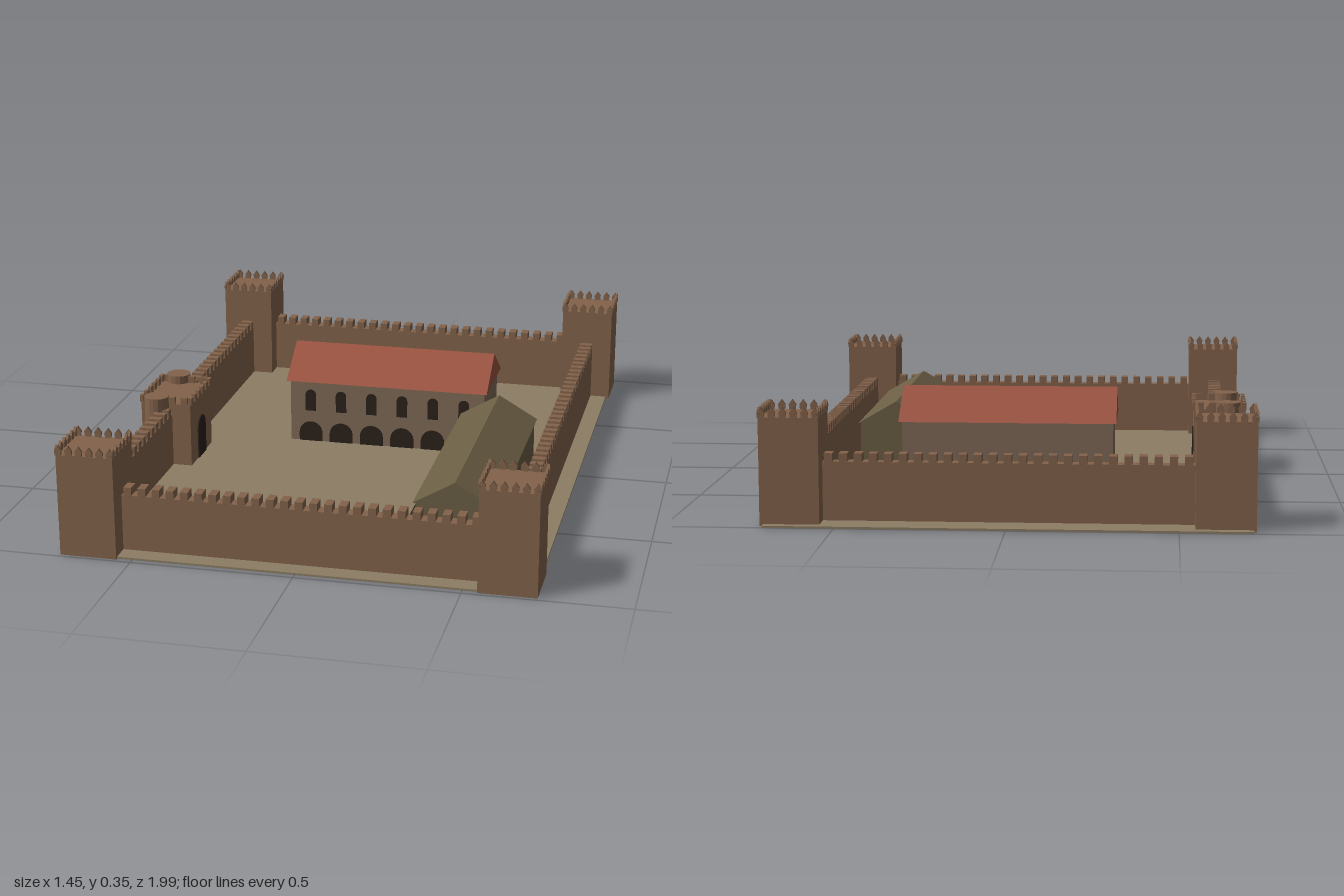
import * as THREE from 'three';

const mat = (color) => new THREE.MeshStandardMaterial({ color, flatShading: true });

export function createModel() {
  const root = new THREE.Group();
  const M = {
    ground: mat(0x8c7d64), wall: mat(0x83634b), house: mat(0x7f6a57),
    tile: mat(0x9a5341), shed: mat(0x6b5e45), dark: mat(0x2b211b),
  };

  function group(name, parent = root) {
    const g = new THREE.Group();
    g.name = name;
    parent.add(g);
    return g;
  }
  function add(parent, name, geo, material, x = 0, y = 0, z = 0, ry = 0) {
    const m = new THREE.Mesh(geo, material);
    m.name = name;
    m.position.set(x, y, z);
    m.rotation.y = ry;
    parent.add(m);
    return m;
  }
  // box given by its extents
  function block(parent, name, material, x0, x1, y0, y1, z0, z1) {
    return add(parent, name, new THREE.BoxGeometry(x1 - x0, y1 - y0, z1 - z0), material,
      (x0 + x1) / 2, (y0 + y1) / 2, (z0 + z1) / 2);
  }
  function extrude(points, depth) {
    const s = new THREE.Shape(points.map(([x, y]) => new THREE.Vector2(x, y)));
    return new THREE.ExtrudeGeometry(s, { depth, bevelEnabled: false });
  }
  // round-topped panel standing on y = 0, centred in depth
  function archPanel(w, h, depth) {
    const r = w / 2, s = new THREE.Shape();
    s.moveTo(-r, 0);
    s.lineTo(r, 0);
    s.lineTo(r, h - r);
    s.absarc(0, h - r, r, 0, Math.PI, false);
    s.lineTo(-r, 0);
    return new THREE.ExtrudeGeometry(s, { depth, bevelEnabled: false, curveSegments: 8 })
      .translate(0, 0, -depth / 2);
  }
  // closed gable roof with its ridge along z
  const gable = (half, rise, length) =>
    extrude([[-half, 0], [half, 0], [0, rise]], length).translate(0, 0, -length / 2);

  // ground slab
  block(root, 'ground', M.ground, -0.715, 0.71, 0, 0.006, -1, 0.98);

  // curtain walls with square merlons
  function curtainWall(name, length, x, z, ry) {
    const g = group(name);
    g.position.set(x, 0, z);
    g.rotation.y = ry;
    block(g, 'wall', M.wall, -length / 2, length / 2, 0.003, 0.181, -0.021, 0.021);
    const n = Math.round(length / 0.0435), step = length / n;
    const geo = new THREE.BoxGeometry(0.024, 0.026, 0.042);
    for (let i = 0; i < n; i++) {
      add(g, 'merlon', geo, M.wall, -length / 2 + (i + 0.5) * step, 0.193, 0);
    }
  }
  curtainWall('frontWall', 1.1, 0, 0.9, 0);
  curtainWall('backWall', 1.1, 0, -0.885, 0);
  curtainWall('leftWall', 1.62, 0.634, 0.008, Math.PI / 2);
  curtainWall('rightWall', 1.62, -0.638, 0.008, Math.PI / 2);

  // corner towers ringed with pointed merlons
  const point = extrude([[-0.009, 0], [0.009, 0], [0.011, 0.016], [0, 0.031], [-0.011, 0.016]], 0.008)
    .translate(0, 0, -0.008);
  for (const x of [-0.635, 0.633]) {
    for (const z of [-0.885, 0.9]) {
      const g = group('cornerTower');
      g.position.set(x, 0, z);
      block(g, 'towerBody', M.wall, -0.088, 0.088, 0, 0.32, -0.088, 0.088);
      for (let s = 0; s < 4; s++) {
        const side = group('battlement', g);
        side.rotation.y = s * Math.PI / 2;
        for (let i = 0; i < 6; i++) add(side, 'merlon', point, M.wall, (i - 2.5) * 0.032, 0.319, 0.09);
      }
    }
  }

  // gatehouse with round flanking turrets
  const gate = group('gatehouse');
  gate.position.set(-0.638, 0, 0.088);
  block(gate, 'gateBody', M.wall, -0.084, 0.084, 0.003, 0.218, -0.115, 0.115);
  const gateDoor = archPanel(0.08, 0.14, 0.006);
  for (const s of [-1, 1]) {
    add(gate, 'gateDoor', gateDoor, M.dark, s * 0.085, 0.005, 0, Math.PI / 2);
    add(gate, 'turret', new THREE.CylinderGeometry(0.04, 0.04, 0.242, 16), M.wall, -0.028, 0.124, s * 0.121);
    for (let i = 0; i < 6; i++) {
      add(gate, 'merlon', new THREE.BoxGeometry(0.012, 0.024, 0.022), M.wall,
        s * 0.083, 0.229, (i - 2.5) * 0.041);
    }
    for (let i = 0; i < 4; i++) {
      add(gate, 'merlon', new THREE.BoxGeometry(0.022, 0.024, 0.012), M.wall,
        (i - 1.5) * 0.042, 0.229, s * 0.11);
    }
  }

  // main hall: arcade below, arched windows above, tiled roof
  const hall = group('hall');
  hall.position.set(0.04, 0, -0.247);
  block(hall, 'hallBody', M.house, -0.335, 0.335, 0.003, 0.224, -0.128, 0.128);
  add(hall, 'hallRoof', gable(0.147, 0.099, 0.69), M.tile, 0, 0.222, 0, Math.PI / 2);
  const hallArch = archPanel(0.08, 0.07, 0.006);
  const hallWindow = archPanel(0.036, 0.075, 0.006);
  for (let i = 0; i < 6; i++) {
    const x = (i - 2.5) * 0.106;
    add(hall, 'arcadeArch', hallArch, M.dark, x, 0.005, 0.128);
    add(hall, 'window', hallWindow, M.dark, x, 0.115, 0.128);
  }

  // long shed with awnings over its doors
  const shed = group('shed');
  shed.position.set(0.434, 0, 0.347);
  block(shed, 'shedBody', M.shed, -0.12, 0.12, 0.003, 0.168, -0.4, 0.4);
  add(shed, 'shedRoof', gable(0.128, 0.074, 0.812), M.shed, 0, 0.166, 0);
  const shedDoor = archPanel(0.07, 0.085, 0.006);
  for (let i = 0; i < 5; i++) {
    const z = (i - 2) * 0.179;
    block(shed, 'awning', M.dark, -0.145, -0.118, 0.093, 0.108, z - 0.08, z + 0.08);
    add(shed, 'shedDoor', shedDoor, M.dark, -0.12, 0.005, z, Math.PI / 2);
  }

  return root;
}
